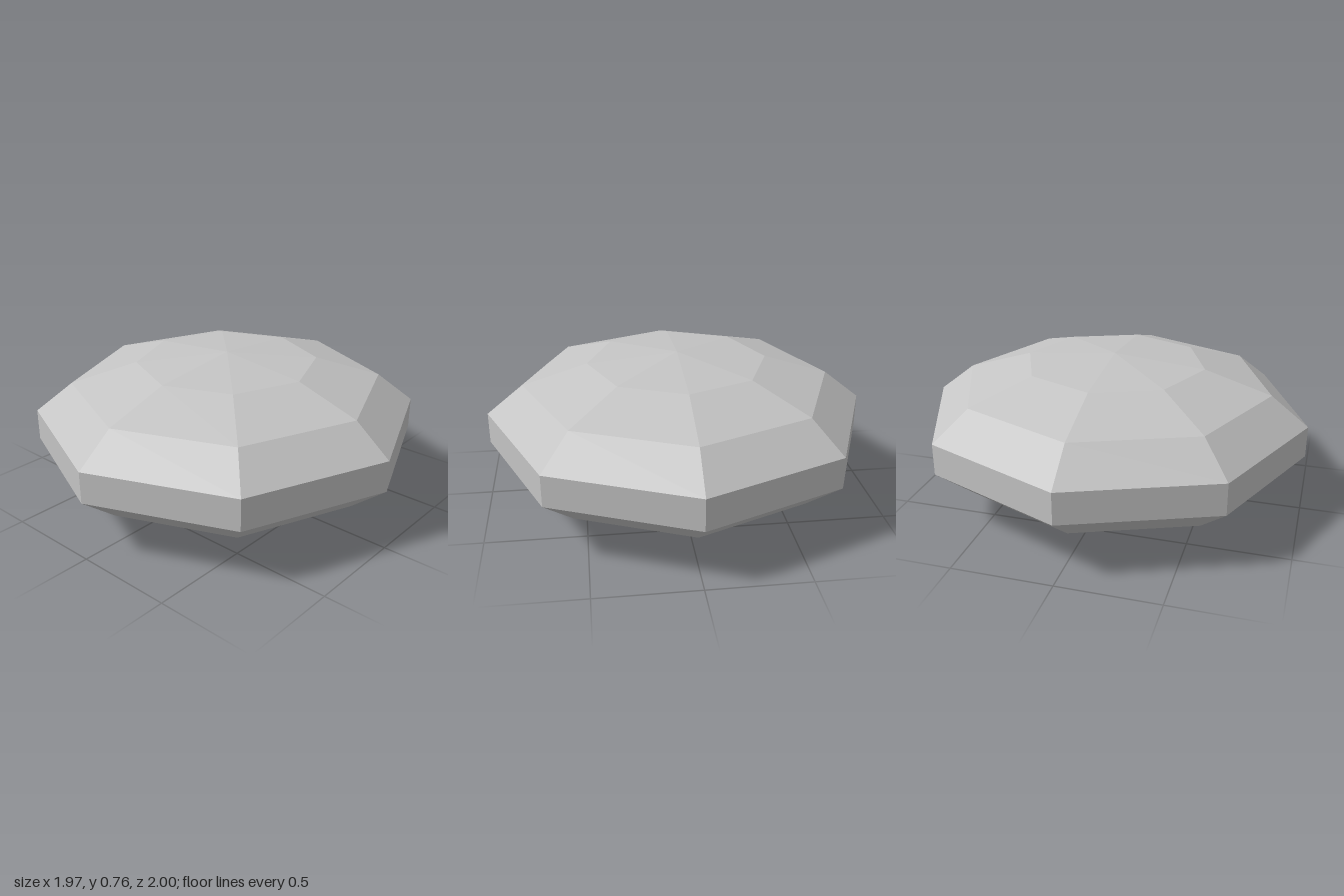
import * as THREE from 'three';

const SIDES = 8;

// Faceted ring surface from a [radius, height] profile, listed bottom to top
function facetedBand(name, profile, material) {
  const points = profile.map(([r, y]) => new THREE.Vector2(r, y));
  const lathe = new THREE.LatheGeometry(points, SIDES);
  lathe.scale(0.983, 1, 1);
  const geometry = lathe.toNonIndexed();
  geometry.computeVertexNormals(); // one normal per facet
  const mesh = new THREE.Mesh(geometry, material);
  mesh.name = name;
  return mesh;
}

export function createModel() {
  const stone = new THREE.MeshStandardMaterial({ color: 0xc4c4c4 });
  stone.name = 'stone grey';

  const model = new THREE.Group();
  model.name = 'facetedStone';
  model.add(
    // Shallow dome the stone rests on
    facetedBand('underside', [[0, 0], [0.47, 0.045], [0.81, 0.15], [1, 0.3]], stone),
    // Upright octagonal rim
    facetedBand('rim', [[1, 0.3], [1, 0.46]], stone),
    // Matching dome on top
    facetedBand('crown', [[1, 0.46], [0.81, 0.608], [0.47, 0.713], [0, 0.757]], stone),
  );
  return model;
}
